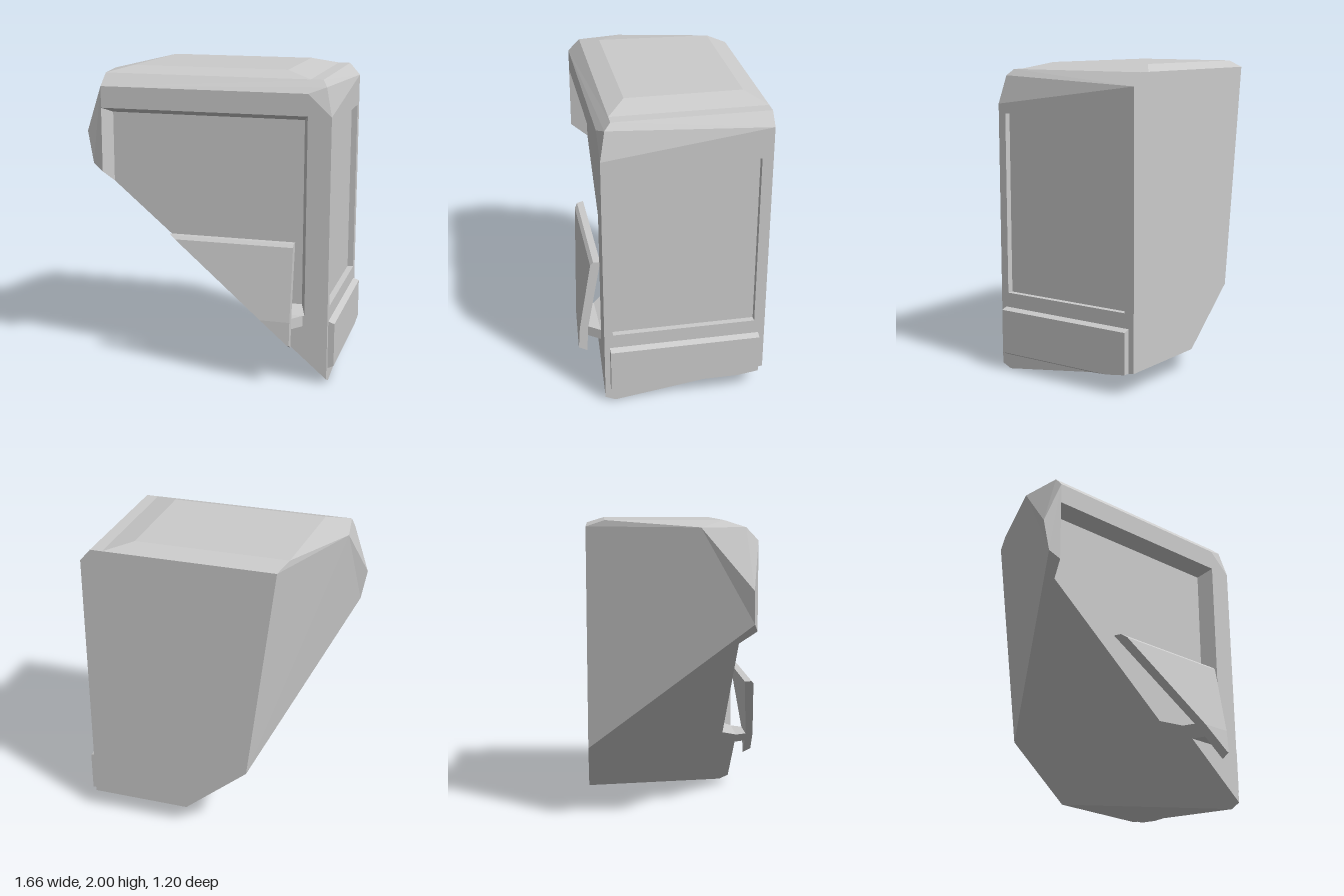
import * as THREE from 'three';

// Collects flat polygons (corners counter-clockwise from outside) into one mesh
class Solid {
  constructor() { this.positions = []; }

  face(points, holes = []) {
    const ring = points.map((p) => new THREE.Vector3(...p));
    const holeRings = holes.map((h) => h.map((p) => new THREE.Vector3(...p)));
    const normal = new THREE.Vector3();
    ring.forEach((p, i) => normal.add(new THREE.Vector3().crossVectors(p, ring[(i + 1) % ring.length])));
    // Flatten along the dominant axis to triangulate
    const size = normal.toArray().map(Math.abs);
    const drop = size.indexOf(Math.max(...size));
    const flat = (p) => new THREE.Vector2(...p.toArray().filter((_, k) => k !== drop));
    const all = [ring, ...holeRings].flat();
    const triangles = THREE.ShapeUtils.triangulateShape(ring.map(flat), holeRings.map((h) => h.map(flat)));
    for (const [i, j, k] of triangles) {
      const [a, b, c] = [all[i], all[j], all[k]];
      const n = b.clone().sub(a).cross(c.clone().sub(a));
      for (const p of n.dot(normal) < 0 ? [a, c, b] : [a, b, c]) this.positions.push(p.x, p.y, p.z);
    }
    return this;
  }

  // Walls between two matching rings
  bridge(near, far) {
    near.forEach((p, i) => {
      const j = (i + 1) % near.length;
      this.face([p, far[i], far[j]]).face([p, far[j], near[j]]);
    });
    return this;
  }

  // Closed block between two matching rings
  block(near, far) {
    return this.face(near).bridge(near, far).face([...far].reverse());
  }

  mesh(name) {
    const geometry = new THREE.BufferGeometry();
    geometry.setAttribute('position', new THREE.Float32BufferAttribute(this.positions, 3));
    geometry.computeVertexNormals();
    const mesh = new THREE.Mesh(geometry, new THREE.MeshStandardMaterial({ color: 0xcccccc, flatShading: true }));
    mesh.name = name;
    return mesh;
  }
}

const FRONT = 0.455, BACK = -0.6, SIDE = 0.79, FLOOR = 0.345;

// x of the slanted cut that slices through every front part
const cutX = (z, y) => SIDE - (y - 0.03 - 0.432 * (z - FRONT)) / 0.857;

function createBody() {
  const s = new Solid();
  const front = (x, y) => [x, y, FRONT];
  const back = (x, y) => [x, y, BACK];
  const deep = (x, y) => [x, y, FLOOR];

  // Shared corners
  const backTopRight = back(SIDE, 1.88), backBottomRight = back(SIDE, 0.14);
  const backRimRight = back(0.72, 1.96), backRimLeft = back(-0.47, 1.96);
  const backLow = back(0.13, 0.14), backLeft = back(-0.29, 0.5);
  const rimLeft = [-0.75, 1.96, 0.1], rimFrontLeft = [-0.71, 1.96, 0.38], rimFrontRight = [0.72, 1.96, 0.38];
  const knob = [0.75, 1.92, 0.42], shoulder = front(SIDE, 1.74);
  const browLeft = front(-0.72, 1.88), browRight = front(0.64, 1.88);
  const cheek = [-0.83, 1.58, 0.42], jaw = [-0.79, 1.37, 0.43];
  const toe = front(SIDE, 0.03), heel = [SIDE, 0, 0.39];

  // Front recess: outer edge and floor, open along the slanted cut
  const outer = [front(0.3, 0.45), front(0.64, 0.45), front(0.64, 1.74), front(-0.72, 1.74), front(-0.72, 1.32)];
  const inner = [deep(0.2, 0.49), deep(0.6, 0.49), deep(0.6, 1.7), deep(-0.68, 1.7), deep(-0.68, 1.24)];
  s.face(inner);
  for (let i = 0; i < 4; i++) s.face([inner[i], outer[i], outer[i + 1], inner[i + 1]]);

  // Front frame and its corner facets
  s.face([outer[3], outer[2], outer[1], outer[0], toe, shoulder, browRight, browLeft]);
  s.face([browLeft, cheek, jaw, outer[4]]);
  s.face([browLeft, browRight, knob, rimFrontRight, rimFrontLeft]);
  s.face([browRight, shoulder, knob]);
  s.face([shoulder, backTopRight, knob]);
  s.face([rimFrontRight, knob, backTopRight, backRimRight]);

  // Side with a shallow recessed window
  const window = (x) => [[x, 0.51, 0.4], [x, 0.51, -0.53], [x, 1.68, -0.53], [x, 1.68, 0.4]];
  s.face([toe, heel, backBottomRight, backTopRight, shoulder], [window(SIDE)]);
  s.face(window(SIDE - 0.04)).bridge(window(SIDE - 0.04), window(SIDE));

  // Opposite side, slanted cut, underside and back
  s.face([backRimLeft, backLeft, jaw, cheek, rimLeft]);
  s.face([rimLeft, cheek, browLeft, rimFrontLeft]);
  s.face([jaw, backLeft, backLow, heel, toe, outer[0], inner[0], inner[4], outer[4]]);
  s.face([backBottomRight, heel, backLow]);
  s.face([backBottomRight, backLow, backLeft, backRimLeft, backRimRight, backTopRight]);

  // Slightly raised roof
  const top = [[-0.56, 2, 0.26], [0.47, 2, 0.26], [0.47, 2, -0.48], [-0.515, 2, -0.48]];
  const rimF = [0.64, 1.96, 0.38], rimB = back(0.64, 1.96);
  s.face(top);
  s.face([rimFrontLeft, rimF, top[1], top[0]]);
  s.face([rimF, rimB, top[2], top[1]]);
  s.face([rimB, backRimLeft, top[3], top[2]]);
  s.face([rimFrontLeft, top[0], rimLeft]);
  s.face([rimLeft, top[0], top[3]]).face([rimLeft, top[3], backRimLeft]);
  s.face([rimF, rimFrontRight, backRimRight, rimB]);
  return s.mesh('body');
}

// Front part with a (z, y) section, ending at the slanted cut
function cutPrism(name, section, rightX) {
  const right = section.map(([z, y]) => [rightX(z), y, z]);
  const left = section.map(([z, y]) => [cutX(z, y), y, z]);
  return new Solid().block(right, left).mesh(name);
}

export function createModel() {
  const model = new THREE.Group();
  model.name = 'cutBooth';
  model.add(createBody());

  // Tilted plate in front of the recess
  model.add(cutPrism('tiltedPlate', [
    [0.595, 0.29], [0.54, 0.26], [0.53, 0.44], [0.44, 0.93], [0.485, 0.93], [0.505, 0.91], [0.585, 0.44],
  ], () => 0.57));

  // Tapered bracket holding the plate
  model.add(cutPrism('plateBracket', [
    [0.535, 0.38], [0.44, 0.38], [0.44, 0.45], [0.535, 0.45],
  ], (z) => Math.min(0.64, 0.64 - (z - FRONT) * 0.9)));

  // Raised lower side panel with a chamfered rim
  const ring = (x, points) => points.map(([z, y]) => [x, y, z]);
  const panel = new Solid().block(
    ring(0.83, [[0.42, 0.115], [-0.42, 0.115], [-0.56, 0.135], [-0.56, 0.4], [0.42, 0.4]]),
    ring(SIDE, [[0.42, 0.095], [-0.28, 0.095], [-0.56, 0.135], [-0.56, 0.415], [0.42, 0.415]]),
  );
  model.add(panel.mesh('lowerSidePanel'));
  return model;
}
